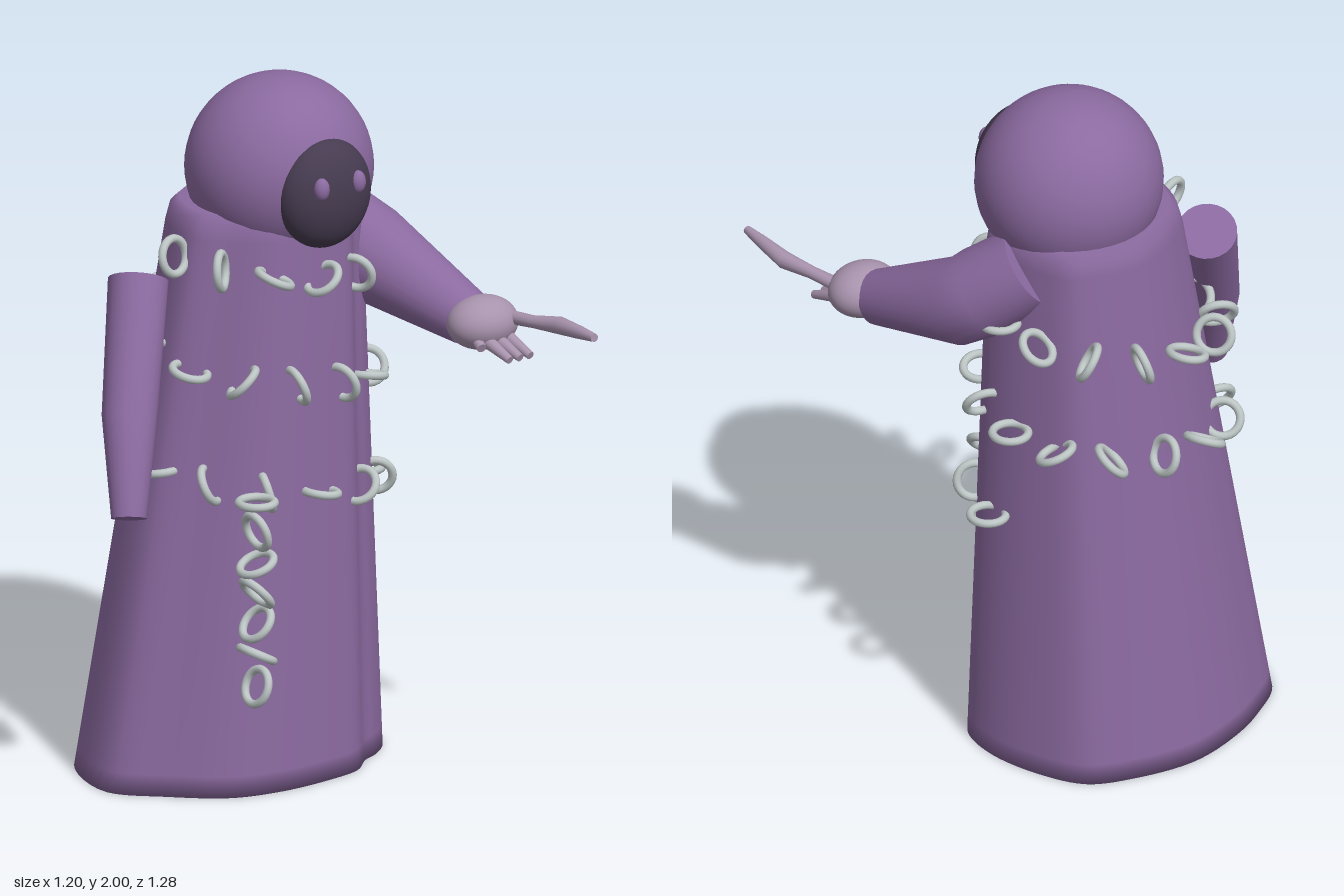
import * as THREE from 'three';

const mat = (name, color, side = THREE.FrontSide) => {
  const m = new THREE.MeshStandardMaterial({ color, side });
  m.name = name;
  return m;
};

const V = (x, y, z) => new THREE.Vector3(x, y, z);

// Skin equal-sized rings, listed bottom to top, and close both ends.
function loft(rings, sharpCaps) {
  const n = rings[0].length, pos = [], idx = [];
  const addRing = ring => {
    const start = pos.length / 3;
    ring.forEach(p => pos.push(p.x, p.y, p.z));
    return start;
  };
  const starts = rings.map(addRing);
  for (let r = 0; r < rings.length - 1; r++) {
    for (let i = 0; i < n; i++) {
      const j = (i + 1) % n, a = starts[r], b = starts[r + 1];
      idx.push(a + j, a + i, b + i, a + j, b + i, b + j);
    }
  }
  [0, rings.length - 1].forEach((r, top) => {
    const s = sharpCaps ? addRing(rings[r]) : starts[r];
    const mid = V(0, 0, 0);
    rings[r].forEach(p => mid.addScaledVector(p, 1 / n));
    const c = addRing([mid]);
    for (let i = 0; i < n; i++) {
      const j = (i + 1) % n;
      if (top) idx.push(c, s + j, s + i);
      else idx.push(c, s + i, s + j);
    }
  });
  const g = new THREE.BufferGeometry();
  g.setAttribute('position', new THREE.Float32BufferAttribute(pos, 3));
  g.setIndex(idx);
  g.computeVertexNormals();
  return g;
}

// Tapered limb through joints given as [x, y, z, radius].
function limb(joints, sides = 24) {
  const pts = joints.map(j => V(j[0], j[1], j[2]));
  const rings = joints.map((joint, k) => {
    const dir = pts[Math.min(k + 1, pts.length - 1)].clone().sub(pts[Math.max(k - 1, 0)]).normalize();
    const q = new THREE.Quaternion().setFromUnitVectors(V(0, 1, 0), dir);
    return Array.from({ length: sides }, (_, i) => {
      const a = i / sides * Math.PI * 2;
      return V(Math.cos(a), 0, Math.sin(a)).multiplyScalar(joint[3]).applyQuaternion(q).add(pts[k]);
    });
  });
  return loft(rings, true);
}

export function createModel() {
  const group = new THREE.Group();
  const cloth = mat('purple cloth', 0x8b6aa0);
  const dark = mat('dark face', 0x463b50);
  const skin = mat('pale mauve skin', 0xa893ad);
  const silver = mat('silver', 0xbcc4c4);

  const add = (name, geometry, material) => {
    const m = new THREE.Mesh(geometry, material);
    m.name = name;
    group.add(m);
    return m;
  };
  const ball = (name, material, p, r, tilt = 0) => {
    const m = add(name, new THREE.SphereGeometry(1, 40, 28), material);
    m.position.set(...p);
    m.scale.set(...r);
    m.rotation.x = tilt;
    return m;
  };

  // Robe: folded hem outline, shrinking and leaning towards the shoulders
  const hem = new THREE.CatmullRomCurve3([
    [-0.5, -0.2], [-0.44, -0.44], [-0.32, -0.53], [-0.2, -0.585], [-0.02, -0.622], [0.16, -0.59], [0.29, -0.53],
    [0.36, -0.41], [0.4, -0.24], [0.38, -0.11], [0.31, -0.04], [0.25, -0.01], [0.18, 0.05],
    [0.06, 0.075], [-0.1, 0.08], [-0.25, 0.045], [-0.39, -0.07],
  ].map(([x, z]) => V(x, 0, z)), true).getPoints(96).slice(0, -1);
  const robeRing = (y, inset = 1) => {
    const t = y / 1.65;
    const sx = THREE.MathUtils.lerp(1, 0.6, t), sz = THREE.MathUtils.lerp(1, 0.695, t);
    const ox = 0.08 * t, oz = -0.036 * t, cx = -0.05 * sx + ox, cz = -0.27 * sz + oz;
    return hem.map(p => V(
      cx + (p.x * sx + ox - cx) * inset, y, cz + (p.z * sz + oz - cz) * inset));
  };
  add('robe', loft([
    robeRing(0), robeRing(0.06), robeRing(0.4), robeRing(0.8), robeRing(1.2),
    robeRing(1.58), robeRing(1.63, 0.98), robeRing(1.65, 0.9),
  ], false), cloth);

  // Hooded head, face and eyes
  ball('hood', cloth, [0.078, 1.735, -0.182], [0.266, 0.265, 0.262]);
  ball('face', dark, [0.076, 1.712, 0.035], [0.147, 0.158, 0.092]);
  for (const s of [-1, 1]) ball('eye', cloth, [0.076 + s * 0.062, 1.752, 0.11], [0.023, 0.033, 0.022]);

  // Sleeves, from cuff to shoulder
  add('rightSleeve', limb([
    [-0.55, 0.86, -0.025, 0.05], [-0.48, 1.12, -0.12, 0.078], [-0.335, 1.45, -0.28, 0.085],
  ]), cloth);
  add('leftSleeve', limb([
    [0.46, 1.31, 0.2, 0.078], [0.385, 1.405, -0.08, 0.125], [0.35, 1.45, -0.14, 0.13], [0.26, 1.55, -0.24, 0.12],
  ]), cloth);

  // Left hand with a pointing finger and curled ones
  ball('leftHand', skin, [0.465, 1.315, 0.25], [0.106, 0.076, 0.09]);
  add('pointingFinger', limb([
    [0.565, 1.355, 0.645, 0.012], [0.568, 1.35, 0.57, 0.019], [0.572, 1.343, 0.47, 0.025],
    [0.545, 1.335, 0.38, 0.018], [0.525, 1.33, 0.29, 0.02],
  ], 12), skin);
  for (const x of [0.44, 0.475, 0.51]) {
    add('curledFinger', limb([[x + 0.012, 1.245, 0.4, 0.012], [x, 1.275, 0.32, 0.019], [x - 0.01, 1.3, 0.26, 0.019]], 12), skin);
  }
  add('thumb', limb([[0.405, 1.27, 0.33, 0.014], [0.42, 1.3, 0.26, 0.02]], 12), skin);

  // Chain links: each ring plane contains the outward direction
  const linkGeometry = new THREE.TorusGeometry(0.05, 0.012, 10, 28);
  const link = (name, position, out, tilt) => {
    const m = add(name, linkGeometry, silver);
    const along = V(0, 1, 0).cross(out).normalize();
    const a = THREE.MathUtils.degToRad(tilt);
    const stick = along.multiplyScalar(Math.cos(a)).add(V(0, Math.sin(a), 0));
    const normal = stick.clone().cross(out).normalize();
    m.position.copy(position);
    m.quaternion.setFromRotationMatrix(new THREE.Matrix4().makeBasis(out, normal.clone().cross(out), normal));
  };

  // Chain winding down around the robe
  const tilts = [
    -78, -85, -25, 40, -75, 30, 0, -40, 60, -75, -15, 65, -60, 50,
    -15, 45, -70, -75, -15, 60, 0, 25, -45, 70, -30, 60, -60, 10,
    -65, -75, -10, 50, -75, 0,
  ];
  tilts.forEach((tilt, k) => {
    const phi = THREE.MathUtils.degToRad(15 + 26.6 * k);
    const turn = phi / (Math.PI * 2);
    const rx = 0.325 + 0.018 * turn;
    const p = V(0.03 - rx * Math.cos(phi), 1.55 - 0.312 * turn, -0.26 + 0.315 * Math.sin(phi));
    link('wrappedChainLink', p, V(-Math.cos(phi), 0, Math.sin(phi)), tilt);
  });

  // Loose end hanging at the front
  [[0.875, 0], [0.79, -75], [0.695, 25], [0.61, -50], [0.52, 50], [0.43, -28], [0.335, 70]].forEach(([y, tilt]) =>
    link('hangingChainLink', V(-0.205, y, 0.105), V(0, 0, 1), tilt));

  return group;
}
